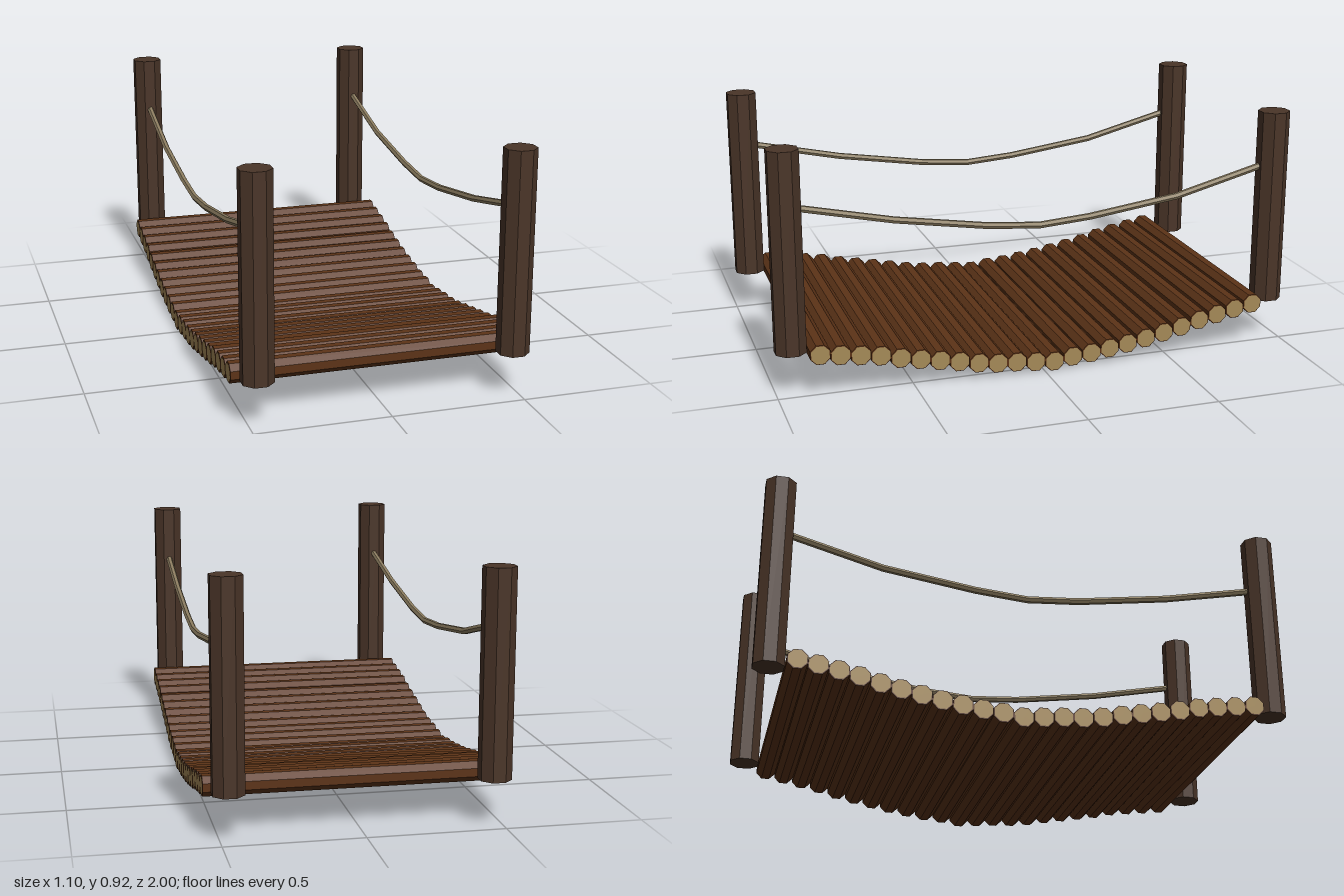
import * as THREE from 'three';

const mat = (color) => new THREE.MeshStandardMaterial({ color, flatShading: true });

// Centre heights of the deck logs, from the front end to the back end
const LOG_HEIGHTS = [
  0.173, 0.163, 0.153, 0.142, 0.124, 0.110, 0.096, 0.082, 0.067, 0.057, 0.052, 0.044,
  0.037, 0.047, 0.052, 0.062, 0.072, 0.085, 0.099, 0.114, 0.133, 0.148, 0.162, 0.175,
];

// Sagging handrail as [z, y]
const ROPE = [[0.91, 0.703], [0.55, 0.625], [0.2, 0.57], [0, 0.553], [-0.2, 0.568], [-0.55, 0.616], [-0.91, 0.71]];

export function createModel() {
  const model = new THREE.Group();
  const add = (parent, name, geometry, material, x, y, z) => {
    const mesh = new THREE.Mesh(geometry, material);
    mesh.name = name;
    mesh.position.set(x, y, z);
    parent.add(mesh);
    return mesh;
  };

  const bark = mat(0x5c3317);
  const cutWood = mat(0xa58a58);
  const postWood = mat(0x4a3528);
  const fibre = mat(0x8c7d60);

  // Deck of octagonal logs lying across, with pale cut ends
  const deck = new THREE.Group();
  deck.name = 'deck';
  model.add(deck);
  const logGeometry = new THREE.CylinderGeometry(0.0395, 0.0395, 1.098, 8)
    .rotateY(Math.PI / 8).rotateZ(Math.PI / 2);
  const endGeometry = new THREE.CircleGeometry(0.036, 8).rotateZ(Math.PI / 8).rotateY(Math.PI / 2);
  LOG_HEIGHTS.forEach((y, i) => {
    const log = new THREE.Group();
    log.name = 'log';
    log.position.set(0, y, 0.85 - (1.7 * i) / (LOG_HEIGHTS.length - 1));
    deck.add(log);
    add(log, 'logBark', logGeometry, bark, 0, 0, 0);
    for (const side of [1, -1]) {
      const end = add(log, 'logEnd', endGeometry, cutWood, side * 0.551, 0, 0);
      if (side < 0) end.rotation.y = Math.PI;
    }
  });

  // Corner posts
  const postGeometry = new THREE.CylinderGeometry(0.0605, 0.0605, 0.753, 8).rotateY(Math.PI / 8);

  // Rope handrail, one straight run between each pair of points
  const path = new THREE.CatmullRomCurve3(ROPE.map(([z, y]) => new THREE.Vector3(0, y, z)));
  path.getUtoTmapping = (u) => u;
  const ropeGeometry = new THREE.TubeGeometry(path, ROPE.length - 1, 0.013, 6);

  for (const [side, x] of [['left', 0.47], ['right', -0.47]]) {
    add(model, side + 'FrontPost', postGeometry, postWood, x, 0.5435, 0.944);
    add(model, side + 'BackPost', postGeometry, postWood, x, 0.5435, -0.944);
    add(model, side + 'RopeRail', ropeGeometry, fibre, x, 0, 0);
  }
  return model;
}
